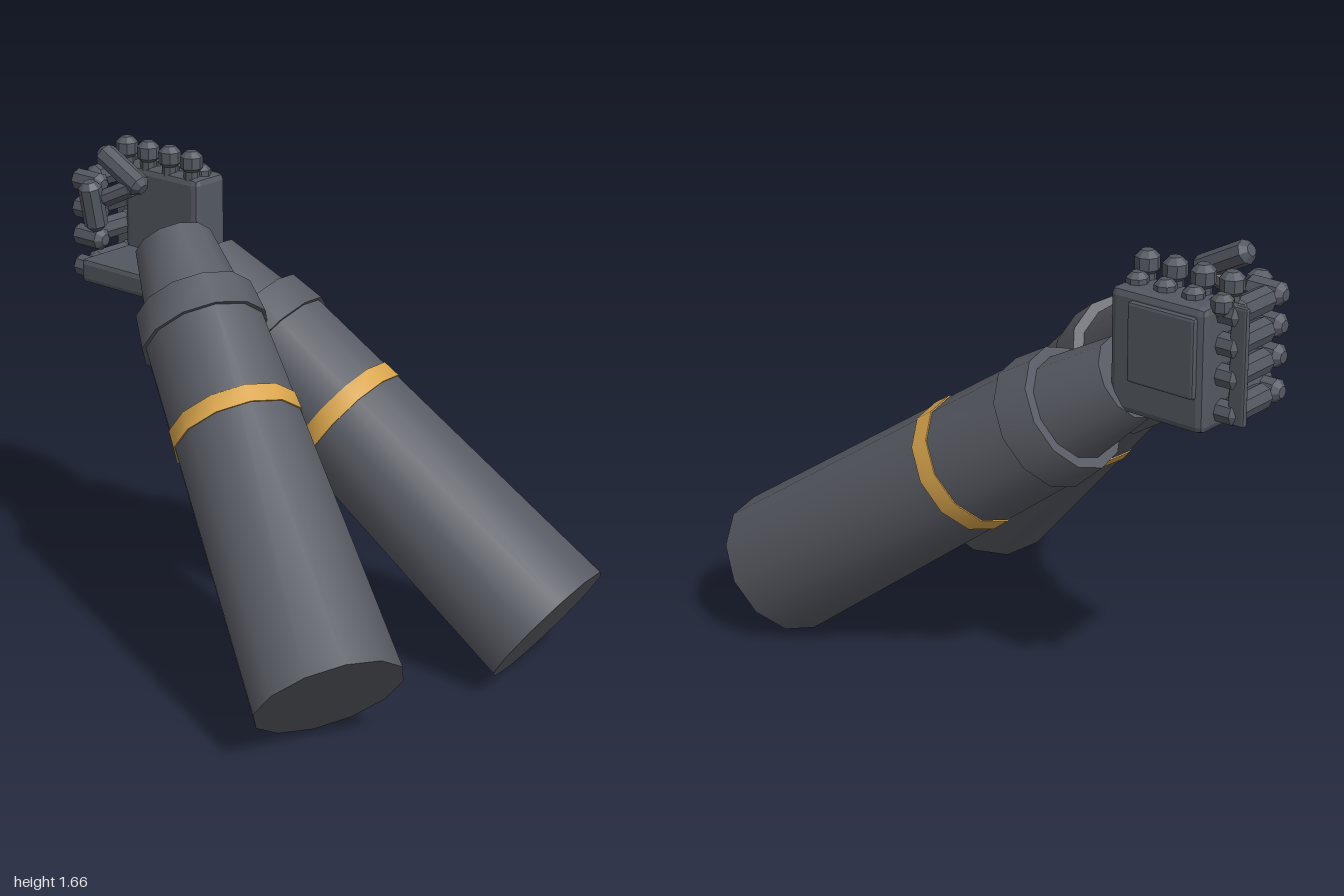
import * as THREE from 'three';
import { RoundedBoxGeometry } from 'three/addons/geometries/RoundedBoxGeometry.js';
import { toCreasedNormals } from 'three/addons/utils/BufferGeometryUtils.js';

const V = (x, y, z) => new THREE.Vector3(x, y, z);
const UP = V(0, 1, 0);

export function createModel() {
  const root = new THREE.Group();
  const cloth = new THREE.MeshStandardMaterial({ color: 0x595c64 });
  cloth.name = 'slate grey';
  const gold = new THREE.MeshStandardMaterial({ color: 0xd9a54c });
  gold.name = 'gold';
  const metal = new THREE.MeshStandardMaterial({ color: 0x535860 });
  metal.name = 'gunmetal';

  function add(parent, name, geo, mat, pos) {
    const mesh = new THREE.Mesh(geo, mat);
    mesh.name = name;
    if (pos) mesh.position.copy(pos);
    parent.add(mesh);
    return mesh;
  }

  // Tapered twelve-sided section between two heights of a sleeve
  function section(parent, name, y0, y1, r0, r1, mat, open = false) {
    const geo = toCreasedNormals(new THREE.CylinderGeometry(r1, r0, y1 - y0, 12, 1, open), 0.7);
    return add(parent, name, geo, mat, V(0, (y0 + y1) / 2, 0));
  }

  // Arm along a line: wide sleeve, gold band, cuff and wrist
  function arm(name, from, to) {
    const g = new THREE.Group();
    g.name = name;
    const axis = to.clone().sub(from);
    const len = axis.length();
    g.position.copy(from);
    g.quaternion.setFromUnitVectors(UP, axis.normalize());
    section(g, 'sleeve', 0, len * 0.79, 0.256, 0.213, cloth);
    section(g, 'goldBand', len * 0.575 - 0.033, len * 0.575 + 0.033, 0.231, 0.228, gold);
    section(g, 'cuff', len * 0.78, len * 0.855, 0.227, 0.212, cloth);
    section(g, 'wrist', len * 0.85, len, 0.178, 0.14, cloth);
    root.add(g);
  }
  arm('leftArm', V(0.45, 0.21, 0.855), V(0.28, 1.22, -0.55));
  arm('rightArm', V(-0.468, 0.225, 0.66), V(0.12, 1.34, -0.55));

  const hand = new THREE.Group();
  hand.name = 'hand';
  root.add(hand);

  // Chamfered block given by its lower and upper corners
  function block(name, a, b, bevel) {
    const s = b.clone().sub(a);
    const geo = new RoundedBoxGeometry(s.x, s.y, s.z, 1, bevel);
    geo.computeVertexNormals();
    add(hand, name, geo, metal, a.clone().add(b).multiplyScalar(0.5));
  }

  // Faceted finger bone with chamfered ends
  function bone(name, a, b, r) {
    const d = b.clone().sub(a);
    const h = d.length() / 2;
    const c = Math.min(r * 0.5, h * 0.6);
    const profile = [[0, -h], [r * 0.5, -h], [r, c - h], [r, h - c], [r * 0.5, h], [0, h]];
    const geo = new THREE.LatheGeometry(profile.map(p => new THREE.Vector2(...p)), 8).toNonIndexed();
    geo.computeVertexNormals();
    const mesh = add(hand, name, geo, metal, a.clone().add(b).multiplyScalar(0.5));
    mesh.quaternion.setFromUnitVectors(UP, d.normalize());
  }

  // Back of the hand, side panel, palm and rear guard
  block('handBack', V(0.23, 1.145, -0.9), V(0.385, 1.55, -0.545), 0.025);
  block('sidePanel', V(0.37, 1.26, -0.875), V(0.402, 1.52, -0.625), 0.01);
  block('palm', V(0.005, 1.16, -0.9), V(0.26, 1.25, -0.545), 0.02);
  block('knuckleGuard', V(0.29, 1.175, -1.0), V(0.312, 1.555, -0.94), 0.008);

  // Row of studs along the top edge
  for (const z of [-0.595, -0.7, -0.805, -0.91]) {
    bone('studStem', V(0.262, 1.5, z), V(0.262, 1.6, z), 0.028);
    bone('studHead', V(0.262, 1.562, z), V(0.262, 1.642, z), 0.04);
    bone('studFoot', V(0.31, 1.515, z), V(0.31, 1.585, z), 0.036);
  }

  // Four curled fingers, each with a root, a middle bone and a tip
  for (const y of [1.52, 1.42, 1.32, 1.205]) {
    bone('fingerRoot', V(0.29, y, -0.84), V(0.29, y, -0.975), 0.038);
    bone('fingerMiddle', V(0.28, y, -0.93), V(0.095, y, -0.93), 0.042);
    bone('fingerTip', V(0.055, y, -0.965), V(0.055, y, -0.82), 0.04);
  }

  // Thumb
  bone('thumbBase', V(0.01, 1.37, -0.815), V(-0.025, 1.55, -0.815), 0.042);
  bone('thumbMiddle', V(0.065, 1.535, -0.64), V(0.065, 1.64, -0.84), 0.041);
  bone('thumbJoint', V(0.065, 1.54, -0.68), V(0.02, 1.48, -0.8), 0.034);

  return root;
}
